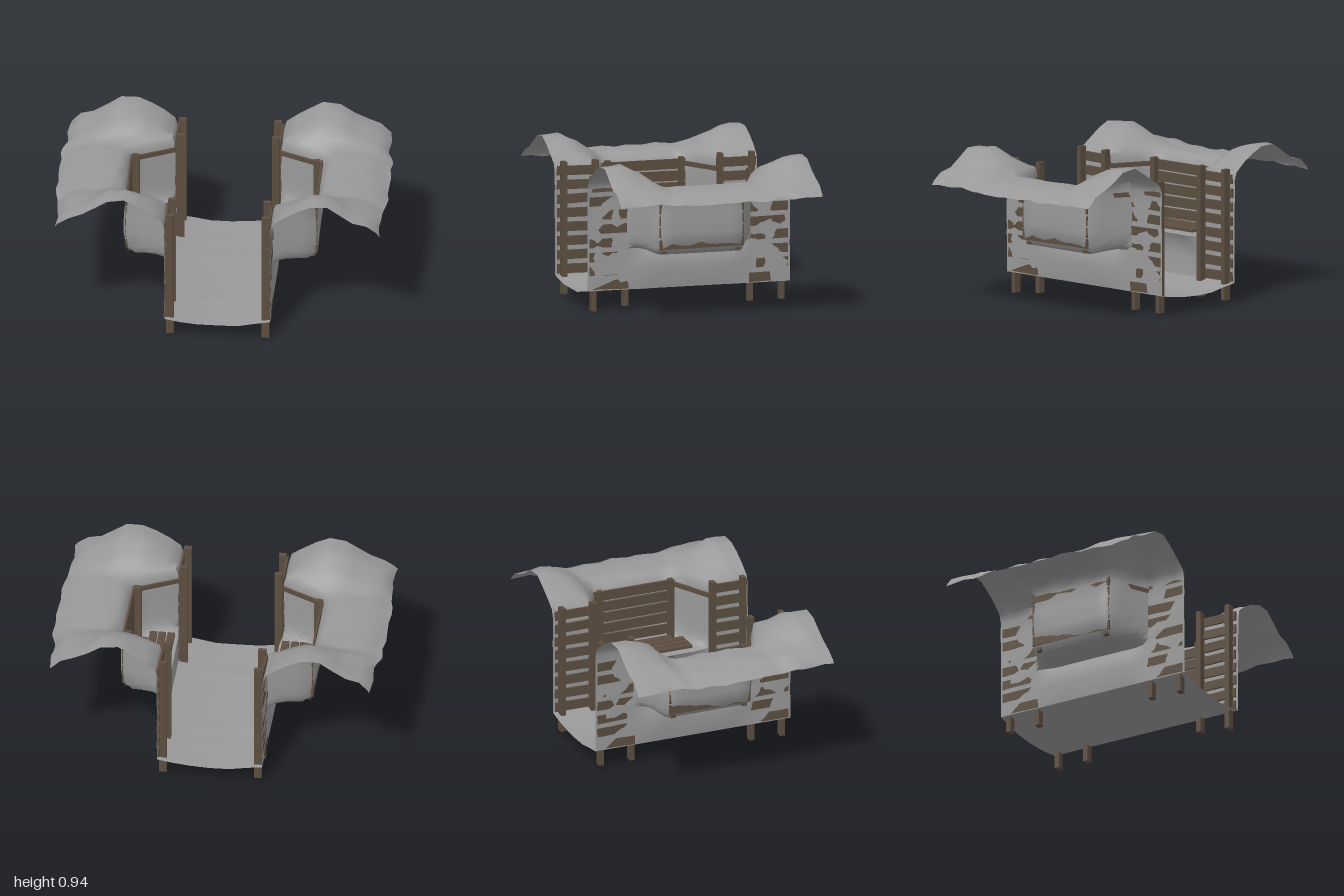
import * as THREE from 'three';
import { toCreasedNormals } from 'three/addons/utils/BufferGeometryUtils.js';

const earth = new THREE.MeshStandardMaterial({ name: 'grey earth', color: 0x999999, side: THREE.DoubleSide });
const wood = new THREE.MeshStandardMaterial({ name: 'dark wood', color: 0x5c4e40 });

// Half cross-sections, floor centre to outer rim: plain bank and seat niche
const PLAIN = [
  [0, 0.097], [0.12, 0.1], [0.22, 0.115], [0.318, 0.13],
  [0.32, 0.25], [0.319, 0.33], [0.319, 0.38], [0.319, 0.41], [0.319, 0.45], [0.319, 0.5],
  [0.319, 0.57], [0.319, 0.66], [0.319, 0.75],
  [0.335, 0.8], [0.4, 0.845], [0.48, 0.895], [0.56, 0.935], [0.66, 0.93],
  [0.74, 0.88], [0.82, 0.835], [0.9, 0.81], [0.955, 0.765], [0.97, 0.745],
];
const NICHE = [
  [0, 0.097], [0.12, 0.1], [0.22, 0.115], [0.318, 0.13],
  [0.337, 0.25], [0.328, 0.33], [0.305, 0.375], [0.42, 0.375], [0.53, 0.368], [0.575, 0.405],
  [0.586, 0.5], [0.586, 0.62], [0.576, 0.72],
  [0.59, 0.76], [0.615, 0.785], [0.64, 0.797], [0.67, 0.803], [0.71, 0.805],
  [0.76, 0.803], [0.83, 0.8], [0.9, 0.79], [0.96, 0.755], [0.995, 0.74],
];

function earthPoint(i, side, z) {
  const a = Math.abs(z);
  const f = THREE.MathUtils.clamp((0.385 - a) / 0.12, 0, 1);
  const crest = THREE.MathUtils.clamp((a - 0.27) / 0.24, 0, 1);
  let [px, py] = PLAIN[i];
  if (i > 13 && i < 21) py = 0.8 + (py - 0.8) * (0.15 + 0.85 * crest);
  let x = THREE.MathUtils.lerp(px, NICHE[i][0], f);
  let y = THREE.MathUtils.lerp(py, NICHE[i][1], f);
  // gentle unevenness
  const n = Math.sin(z * 23 + i * 1.9 + side) * Math.cos(z * 11 - i * 2.3 + side * 2);
  if (i < 3) y += 0.005 * n;
  else if (i > 3 && i < 13) x += 0.003 * n;
  else if (i > 13) { y += 0.009 * n; x += 0.006 * Math.sin(z * 27 + i); }
  return [side * Math.min(x, 1), y, z];
}

function buildEarth() {
  const half = [0.09, 0.18, 0.245, 0.275, 0.31, 0.35, 0.39, 0.45, 0.51, 0.575, 0.638];
  const zs = [...half.map((z) => -z).reverse(), 0, ...half];
  const n = PLAIN.length, cols = 2 * n - 1;
  const pos = [], index = [];
  zs.forEach((z, r) => {
    for (let c = 0; c < cols; c++) {
      const k = c - (n - 1);
      pos.push(...earthPoint(Math.abs(k), k < 0 ? -1 : 1, z));
      if (r && c) {
        const d = r * cols + c, b = d - cols;
        index.push(b - 1, d - 1, b, b, d - 1, d);
      }
    }
  });
  const g = new THREE.BufferGeometry();
  g.setAttribute('position', new THREE.Float32BufferAttribute(pos, 3));
  g.setIndex(index);
  const mesh = new THREE.Mesh(toCreasedNormals(g, 0.9), earth);
  mesh.name = 'trenchEarth';
  return mesh;
}

export function createModel() {
  const model = new THREE.Group();
  model.name = 'trenchSection';
  model.add(buildEarth());

  let seed = 7;
  const wobble = (amount) => {
    seed = (seed * 16807) % 2147483647;
    return (seed / 2147483647 - 0.5) * 2 * amount;
  };

  for (const side of [1, -1]) {
    const group = new THREE.Group();
    group.name = side > 0 ? 'leftTimber' : 'rightTimber';
    const beam = (name, w, h, d, x, y, z, ry = 0, rx = 0, rz = 0) => {
      const m = new THREE.Mesh(new THREE.BoxGeometry(w, h, d), wood);
      m.name = name;
      m.position.set(side * x, y, z);
      m.rotation.set(rx, side * ry, side * rz);
      group.add(m);
    };

    for (const end of [1, -1]) {
      // Uprights standing in front of the wall
      for (const z of [0.592, 0.393]) {
        const bottom = 0.017 + wobble(0.012);
        beam('wallPost', 0.046, 0.822 - bottom, 0.03, 0.287, (0.822 + bottom) / 2, end * z);
      }
      // Wall boards behind the uprights
      for (let i = 0; i < 8; i++) {
        beam('wallBoard', 0.013, 0.056, 0.245, 0.3125, 0.165 + i * 0.085, end * 0.503, wobble(0.03), wobble(0.02), wobble(0.04));
      }
      // Corner post and sloping side rail of the niche
      beam('nichePost', 0.042, 0.39, 0.03, 0.543, 0.57, end * 0.232);
      beam('nicheRail', 0.285, 0.028, 0.014, 0.437, 0.722, end * 0.322, end * 0.47);
    }

    // Back boards of the niche
    for (let i = 0; i < 5; i++) {
      beam('backBoard', 0.013, 0.06, 0.53, 0.571, 0.435 + i * 0.071, 0, wobble(0.012), wobble(0.01));
    }
    // Seat slats
    for (let i = 0; i < 4; i++) {
      beam('seatSlat', 0.045, 0.016, i < 3 ? 0.56 : 0.43, 0.347 + i * 0.053, 0.402, 0, wobble(0.008), 0, wobble(0.03));
    }
    model.add(group);
  }
  return model;
}
